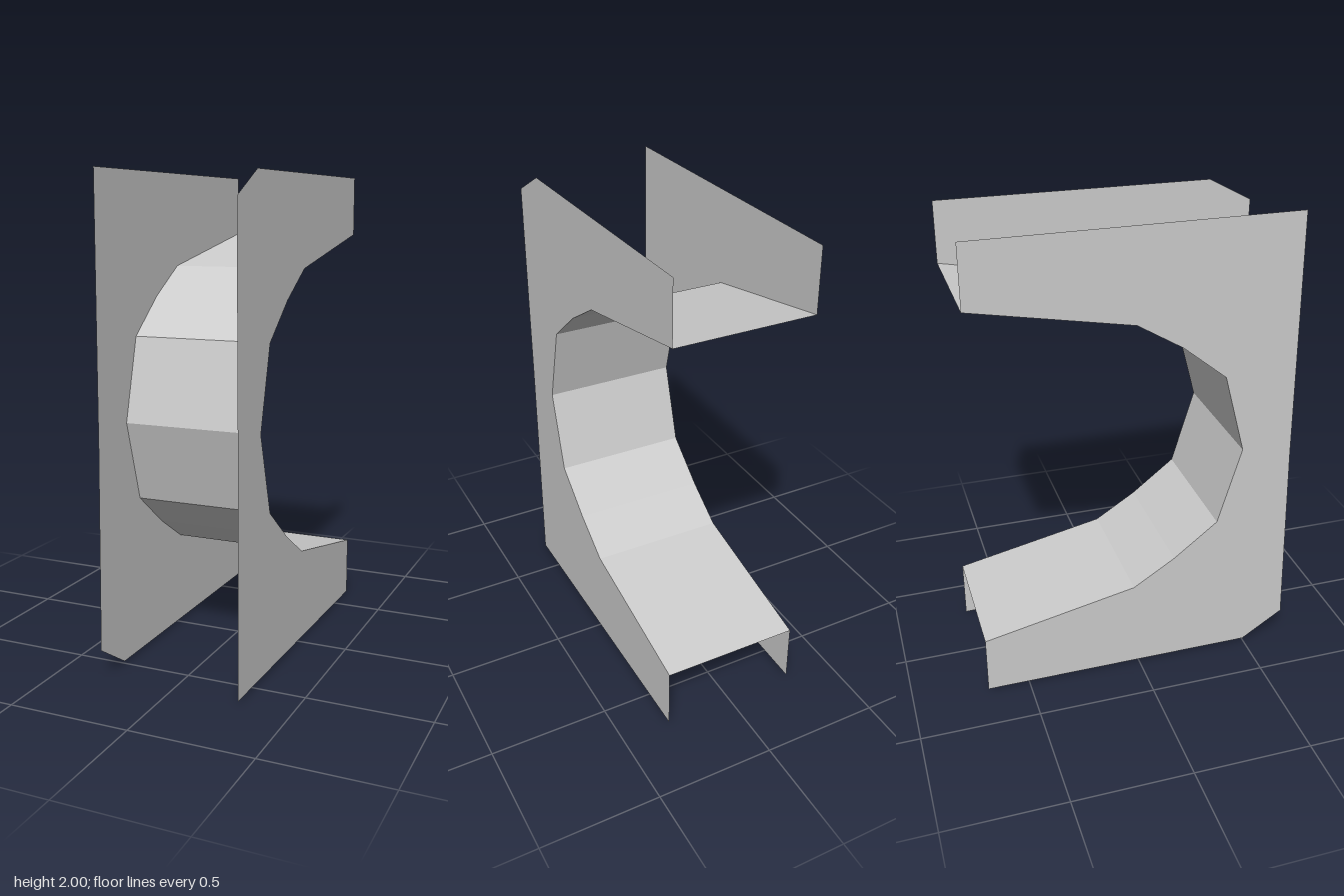
import * as THREE from 'three';

const material = new THREE.MeshStandardMaterial({
  color: 0xcccccc, flatShading: true, side: THREE.DoubleSide,
});

const LEFT = 0.288, RIGHT = -0.293;

// Curved inner edge as [z, y], from the upper back end to the lower back end
const curve = [
  [-0.68, 1.735], [-0.02, 1.61], [0.17, 1.495], [0.355, 1.345], [0.445, 1.005],
  [0.345, 0.67], [0.155, 0.52], [-0.025, 0.405], [-0.68, 0.265],
];

// Thin side plate: the curved edge closed by an outer outline
function sidePlate(name, x, outline) {
  const points = [...curve, ...outline].map(([z, y]) => new THREE.Vector2(z, y));
  const geometry = new THREE.ShapeGeometry(new THREE.Shape(points));
  geometry.rotateY(-Math.PI / 2).translate(x, 0, 0);
  const mesh = new THREE.Mesh(geometry, material);
  mesh.name = name;
  return mesh;
}

// Faceted web that joins the two plates along the curved edge
function curvedWeb() {
  const geometry = new THREE.PlaneGeometry(1, 1, 1, curve.length - 1);
  const position = geometry.attributes.position;
  curve.forEach(([z, y], i) => {
    position.setXYZ(2 * i, RIGHT, y, z);
    position.setXYZ(2 * i + 1, LEFT, y, z);
  });
  geometry.computeVertexNormals();
  const mesh = new THREE.Mesh(geometry, material);
  mesh.name = 'curvedWeb';
  return mesh;
}

export function createModel() {
  const group = new THREE.Group();
  group.name = 'curvedChannel';
  group.add(
    curvedWeb(),
    // Left plate has its upper front corner cut off
    sidePlate('leftPlate', LEFT, [
      [-0.68, 0.003], [0.663, 0.018], [0.663, 0.95], [0.673, 1.89], [0.485, 1.99], [-0.68, 1.99],
    ]),
    // Right plate has its lower front corner cut off
    sidePlate('rightPlate', RIGHT, [
      [-0.68, 0.01], [0.5, 0.012], [0.682, 0.13], [0.663, 0.95], [0.653, 2], [-0.68, 1.995],
    ]),
  );
  return group;
}
